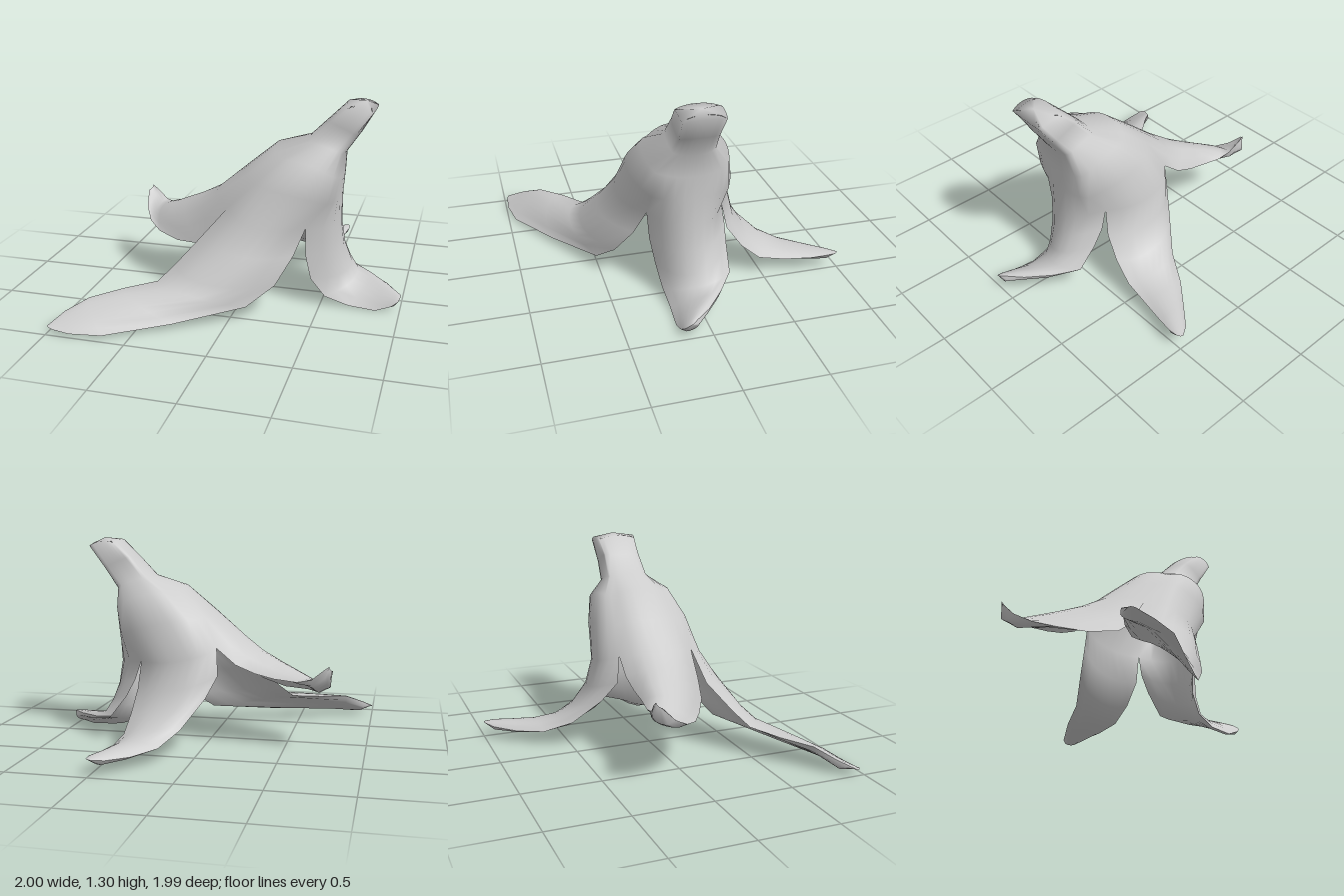
import * as THREE from 'three';
import { mergeGeometries, mergeVertices } from 'three/addons/utils/BufferGeometryUtils.js';

const V = (x, y, z) => new THREE.Vector3(x, y, z);
const points = (rows) => rows.map((r) => V(...r));
const mirrorZ = (line, scale) => line.map((p) => V(p.x, p.y, -p.z * scale));
const ACROSS = 8; // segments across one strip
const BULGE = 2.4; // squareness of the cross-section, 2 is a parabola
const UPPER_THICK = 0.035; // peel thickness above the split
const STRIP_THICK = 0.055; // thickness of the free strips

// Seams of the unsplit upper peel, from stem tip down to where the strips part
const seamFrontRight = points([[.78, 1.25, .135], [.68, 1.11, .125], [.59, .99, .135], [.57, .87, .235], [.54, .7, .25], [.41, .53, .25]]);
const seamFrontLeft = points([[.62, 1.27, .135], [.52, 1.18, .125], [.4, 1.05, .135], [.22, .95, .2], [.05, .8, .24], [-.08, .63, .26]]);
const seamBackRight = mirrorZ(seamFrontRight, .9);
const seamBackLeft = mirrorZ(seamFrontLeft, .9);

// Centre lines of the strips over the same rows
const midFront = points([[.7, 1.28, .145], [.6, 1.15, .135], [.5, 1.03, .15], [.39, .95, .275], [.27, .78, .34], [.13, .56, .385]]);
const midBack = mirrorZ(midFront, .86);
const midRight = points([[.79, 1.26, .01], [.71, 1.12, .01], [.61, .97, 0], [.6, .83, 0], [.59, .68, 0], [.595, .5, 0]]);
const midLeft = points([[.61, 1.29, .01], [.5, 1.18, .01], [.38, 1.06, 0], [.17, 1.0, 0], [-.02, .84, 0], [-.22, .67, 0]]);

// Free part of each strip: rows of first edge, centre, second edge
const freeRows = {
  frontStrip: [
    [-.24, .44, .3, .01, .4, .48, .35, .37, .32],
    [-.38, .28, .42, -.12, .24, .575, .26, .21, .425],
    [-.47, .19, .5, -.25, .175, .625, .1, .087, .515],
    [-.65, .17, .61, -.54, .145, .74, -.3, .035, .75],
    [-.82, .15, .75, -.78, .11, .85, -.66, .015, .955],
    [-.94, .09, .85, -.92, .07, .91, -.85, .02, .99],
    [-1, .04, .95, -.99, .04, .975, -.95, .03, .985]],
  rightStrip: [
    [.41, .35, .235, .615, .34, 0, .45, .41, -.235],
    [.44, .18, .205, .66, .21, 0, .51, .3, -.23],
    [.53, .06, .185, .7, .14, 0, .62, .16, -.22],
    [.68, .01, .175, .79, .125, .03, .76, .13, -.12],
    [.85, 0, .185, .89, .105, .1, .9, .115, 0],
    [.95, .04, .185, .97, .095, .14, .97, .105, .09],
    [.99, .07, .17, 1, .09, .145, 1, .1, .125]],
  backStrip: [
    [.425, .36, -.26, .16, .38, -.365, -.09, .46, -.25],
    [.44, .22, -.36, .2, .25, -.45, -.03, .33, -.34],
    [.45, .12, -.48, .27, .17, -.56, .09, .165, -.5],
    [.465, .09, -.65, .33, .135, -.68, .18, .095, -.67],
    [.495, .09, -.82, .4, .125, -.83, .3, .08, -.82],
    [.515, .105, -.92, .46, .115, -.94, .41, .09, -.95],
    [.51, .105, -.98, .49, .105, -1, .47, .1, -.99]],
  leftStrip: [
    [-.2, .53, -.235, -.34, .595, -.02, -.18, .45, .27],
    [-.32, .48, -.23, -.46, .535, -.05, -.3, .36, .24],
    [-.44, .45, -.225, -.56, .49, -.08, -.46, .33, .15],
    [-.58, .44, -.245, -.66, .45, -.13, -.62, .34, .05],
    [-.67, .46, -.255, -.71, .43, -.18, -.72, .37, -.05],
    [-.74, .52, -.27, -.76, .47, -.23, -.78, .43, -.15],
    [-.78, .55, -.27, -.785, .53, -.26, -.8, .52, -.24]],
};

// Joins seams, centre line and free rows into rows of [edge, centre, edge]
function stripRows(edgeA, mid, edgeB, free) {
  const upper = mid.map((m, i) => [edgeA[i], m, edgeB[i]]);
  const lower = free.map((r) => [V(r[0], r[1], r[2]), V(r[3], r[4], r[5]), V(r[6], r[7], r[8])]);
  return upper.concat(lower);
}

// Points of one skin: an arch across each row, the inner skin sunk at the centre
function skinGrid(rows, inner) {
  const last = rows.length - 1;
  return rows.map(([a, m, b], i) => {
    const along = rows[Math.min(i + 1, last)][1].clone().sub(rows[Math.max(i - 1, 0)][1]);
    const out = along.cross(b.clone().sub(a)).normalize();
    const rise = m.clone().sub(a.clone().lerp(b, 0.5));
    const thick = i < midFront.length ? UPPER_THICK : STRIP_THICK;
    const sink = inner && i < last ? thick : 0;
    return Array.from({ length: ACROSS + 1 }, (_, j) => {
      const t = j / ACROSS;
      return a.clone().lerp(b, t)
        .addScaledVector(rise, 1 - Math.abs(2 * t - 1) ** BULGE)
        .addScaledVector(out, -sink * Math.sqrt(4 * t * (1 - t)));
    });
  });
}

const trianglesToGeometry = (corners) => new THREE.BufferGeometry().setFromPoints(corners);

function gridGeometry(grid, flip) {
  const corners = [];
  for (let i = 0; i < grid.length - 1; i++) {
    for (let j = 0; j < ACROSS; j++) {
      const a = grid[i][j], b = grid[i + 1][j], c = grid[i][j + 1], d = grid[i + 1][j + 1];
      corners.push(...(flip ? [a, c, b, c, d, b] : [a, b, c, c, b, d]));
    }
  }
  return trianglesToGeometry(corners);
}

// Shades neighbouring pieces as one smooth skin, then hands them back separately
function smoothTogether(list) {
  const whole = mergeVertices(mergeGeometries(list));
  whole.computeVertexNormals();
  const normals = whole.toNonIndexed().attributes.normal.array;
  let start = 0;
  for (const g of list) {
    const size = g.attributes.position.count * 3;
    g.setAttribute('normal', new THREE.BufferAttribute(normals.slice(start, start + size), 3));
    start += size;
  }
}

export function createModel() {
  const group = new THREE.Group();
  group.name = 'fruitPeel';
  const material = new THREE.MeshStandardMaterial({ color: 0xcccccc, side: THREE.DoubleSide });
  const add = (geometry, name, parent) => {
    const mesh = new THREE.Mesh(geometry, material);
    mesh.name = name;
    parent.add(mesh);
  };

  const strips = {
    frontStrip: [seamFrontLeft, midFront, seamFrontRight],
    rightStrip: [seamFrontRight, midRight, seamBackRight],
    backStrip: [seamBackRight, midBack, seamBackLeft],
    leftStrip: [seamBackLeft, midLeft, seamFrontLeft],
  };
  const names = Object.keys(strips);
  const rows = names.map((n) => stripRows(...strips[n], freeRows[n]));
  const outerGrids = rows.map((r) => skinGrid(r, false));
  const outer = outerGrids.map((g) => gridGeometry(g, false));
  const inner = rows.map((r) => gridGeometry(skinGrid(r, true), true));

  // Slightly domed end of the stem
  const centre = V(.72, 1.3, .01);
  const cap = [];
  for (const grid of outerGrids) {
    for (let j = 0; j < ACROSS; j++) cap.push(centre, grid[0][j], grid[0][j + 1]);
  }
  const stemEnd = trianglesToGeometry(cap);

  smoothTogether([...outer, stemEnd]);
  smoothTogether(inner);
  add(stemEnd, 'stemEnd', group);

  // Four strips, each with an outer and an inner skin
  names.forEach((name, k) => {
    const strip = new THREE.Group();
    strip.name = name;
    add(outer[k], name + 'OuterSkin', strip);
    add(inner[k], name + 'InnerSkin', strip);
    group.add(strip);
  });

  return group;
}
